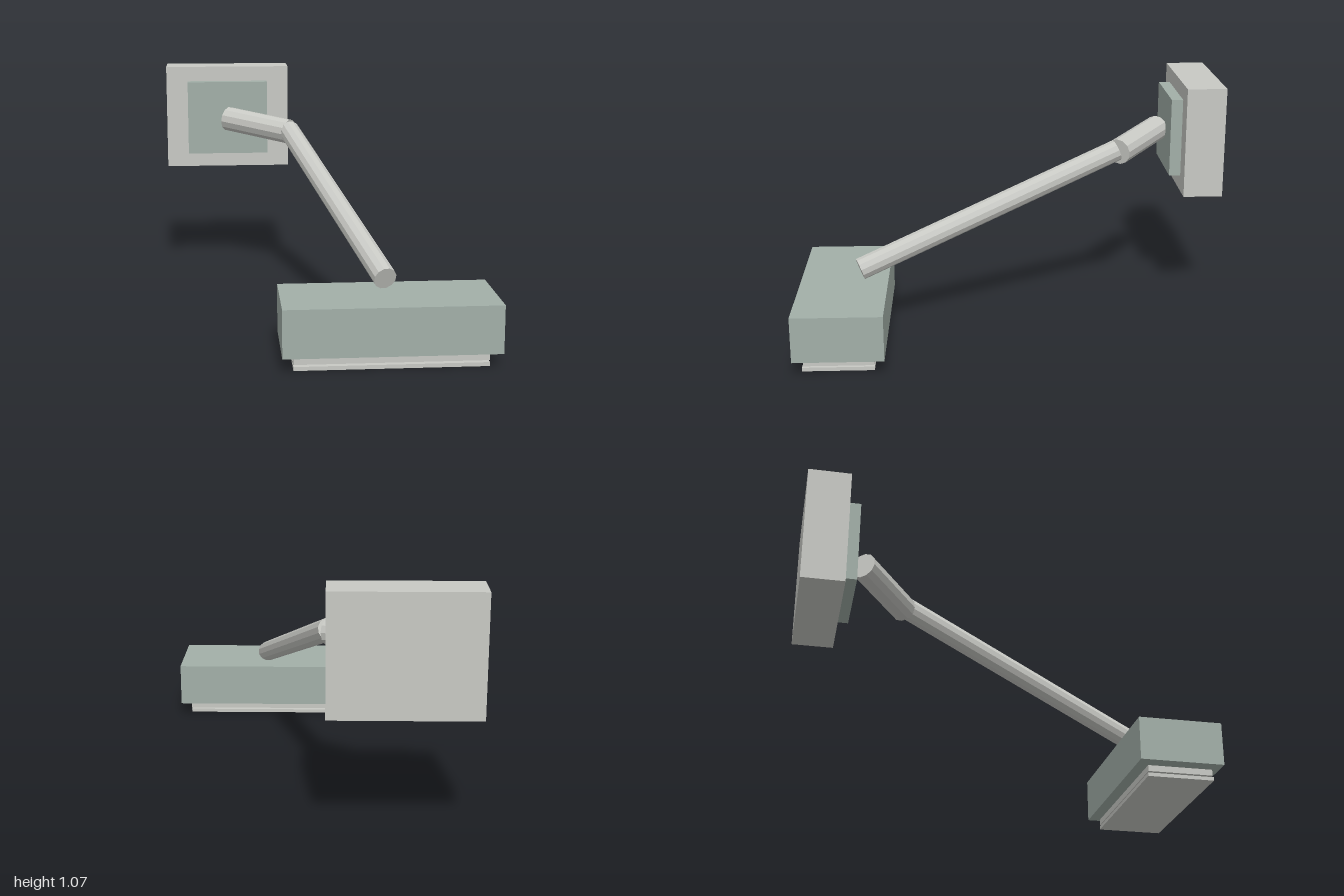
import * as THREE from 'three';

export function createModel() {
  const group = new THREE.Group();
  const grey = new THREE.MeshStandardMaterial({ color: 0xc8c9c4 });
  grey.name = 'warm grey';
  grey.flatShading = true;
  const green = new THREE.MeshStandardMaterial({ color: 0xa2afa8 });
  green.name = 'sage green';

  // Box given by its extents on each axis
  function box(name, material, [x0, x1], [y0, y1], [z0, z1]) {
    const mesh = new THREE.Mesh(new THREE.BoxGeometry(x1 - x0, y1 - y0, z1 - z0), material);
    mesh.position.set((x0 + x1) / 2, (y0 + y1) / 2, (z0 + z1) / 2);
    mesh.name = name;
    group.add(mesh);
  }

  // Faceted rod running from one point to another
  function rod(name, radius, from, to) {
    const a = new THREE.Vector3(...from);
    const b = new THREE.Vector3(...to);
    const dir = b.clone().sub(a);
    const mesh = new THREE.Mesh(new THREE.CylinderGeometry(radius, radius, dir.length(), 12), grey);
    mesh.position.copy(a).add(b).multiplyScalar(0.5);
    mesh.quaternion.setFromUnitVectors(new THREE.Vector3(0, 1, 0), dir.normalize());
    mesh.name = name;
    group.add(mesh);
  }

  // Wall mount
  box('wallBlock', grey, [-0.71, -0.07], [0.545, 1.075], [-1, -0.812]);
  box('mountPlate', green, [-0.598, -0.182], [0.621, 0.999], [-0.812, -0.757]);

  // Two-part arm
  rod('shortArm', 0.062, [-0.388, 0.811, -0.72], [-0.082, 0.772, -0.492]);
  rod('longArm', 0.051, [-0.082, 0.78, -0.482], [0.253, 0.319, 0.728]);

  // Head with two thin plates beneath
  box('head', green, [-0.2, 0.71], [0.063, 0.27], [0.6, 1]);
  box('upperPlate', grey, [-0.153, 0.66], [0.024, 0.053], [0.648, 0.957]);
  box('lowerPlate', grey, [-0.153, 0.66], [0, 0.017], [0.646, 0.962]);

  return group;
}
